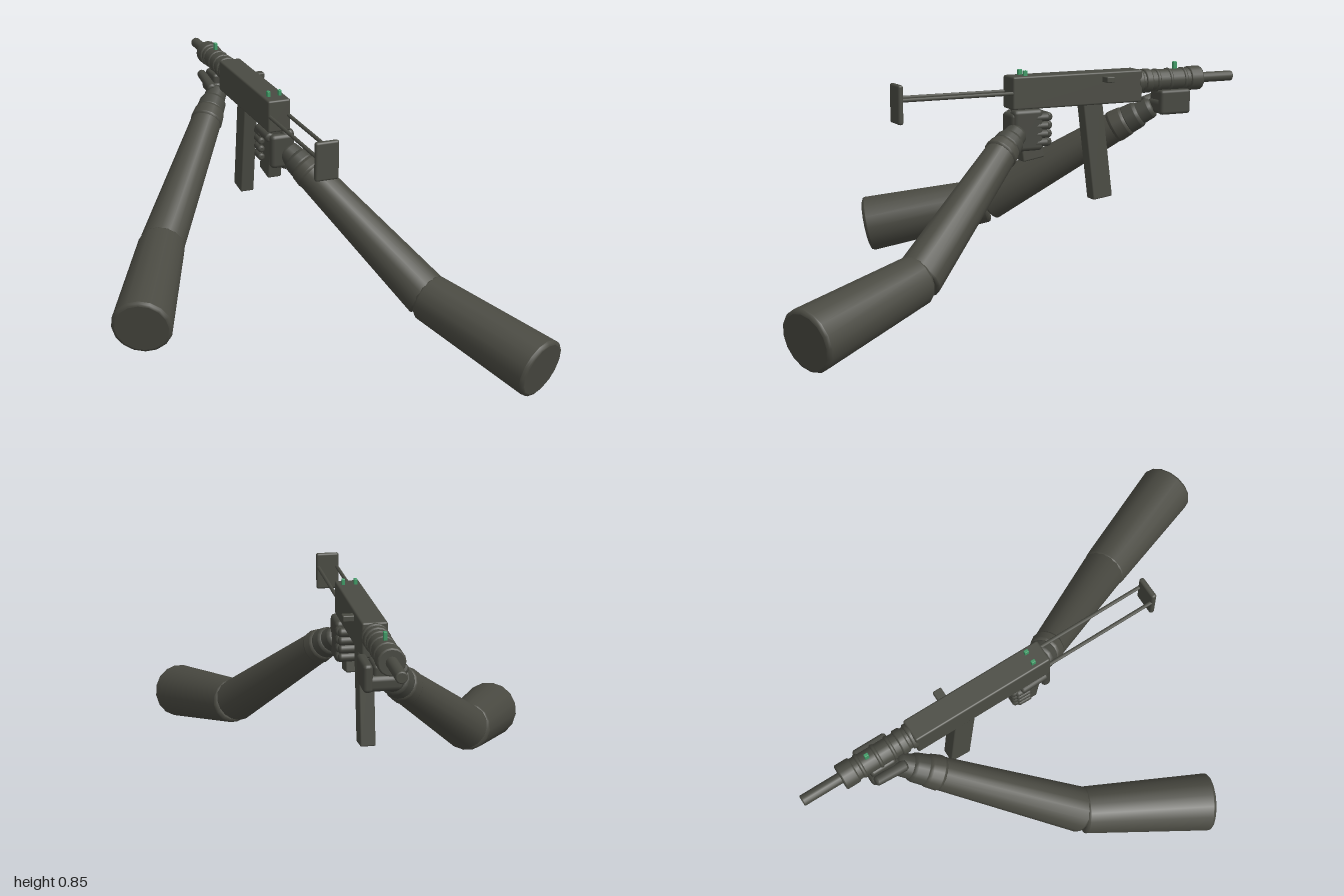
import * as THREE from 'three';
import { RoundedBoxGeometry } from 'three/addons/geometries/RoundedBoxGeometry.js';

const V = (p) => new THREE.Vector3(...p);

export function createModel() {
  const model = new THREE.Group();
  const metal = new THREE.MeshStandardMaterial({ color: 0x4a4b43 });
  metal.name = 'gunmetal';
  const sleeve = new THREE.MeshStandardMaterial({ color: 0x4a4a42 });
  sleeve.name = 'sleeve olive grey';
  const glove = new THREE.MeshStandardMaterial({ color: 0x464740 });
  glove.name = 'glove grey';
  const green = new THREE.MeshStandardMaterial({ color: 0x3f9a66 });
  green.name = 'sight green';

  const add = (name, geometry, material, parent = model) => {
    const mesh = new THREE.Mesh(geometry, material);
    mesh.name = name;
    parent.add(mesh);
    return mesh;
  };

  // Softened box given by size and centre
  const box = (name, size, centre, material, bevel = 0.006, parent = model) => {
    const mesh = add(name, new RoundedBoxGeometry(...size, 2, bevel), material, parent);
    mesh.position.set(...centre);
    return mesh;
  };

  // Tapered round bar from a to b with softened rims
  const rod = (name, a, b, r0, r1, bevel, material, parent = model, sides = 16) => {
    const from = V(a), dir = V(b).sub(from), len = dir.length(), k = bevel;
    const profile = [
      [0, 0], [r0 - k * 1.1, 0], [r0 - k, 0], [r0 - k * 0.3, k * 0.3], [r0, k], [r0, k * 1.1],
      [r1, len - k * 1.1], [r1, len - k], [r1 - k * 0.3, len - k * 0.3], [r1 - k, len], [r1 - k * 1.1, len], [0, len],
    ].map(([x, y]) => new THREE.Vector2(Math.max(x, 0), y));
    const mesh = add(name, new THREE.LatheGeometry(profile, sides), material, parent);
    mesh.position.copy(from);
    mesh.quaternion.setFromUnitVectors(new THREE.Vector3(0, 1, 0), dir.normalize());
    return mesh;
  };

  const cx = 0.03; // centre line of the weapon

  // Receiver, barrel shroud with raised bands, and muzzle
  const gun = new THREE.Group();
  gun.name = 'weapon';
  model.add(gun);
  box('receiver', [0.088, 0.122, 0.545], [cx, 0.777, -0.3], metal, 0.007, gun);
  rod('barrelShroud', [cx, 0.79, -0.55], [cx, 0.79, -0.84], 0.041, 0.041, 0.004, metal, gun);
  for (const [z0, z1, r] of [[-0.56, -0.585, 0.047], [-0.595, -0.625, 0.047], [-0.645, -0.66, 0.045],
    [-0.7, -0.715, 0.045], [-0.765, -0.78, 0.045], [-0.795, -0.85, 0.047]]) {
    rod('shroudBand', [cx, 0.79, z0], [cx, 0.79, z1], r, r, 0.005, metal, gun);
  }
  rod('muzzle', [cx, 0.79, -0.84], [cx, 0.79, -1], 0.02, 0.02, 0.004, metal, gun);

  // Slanted magazine and pistol grip
  const magazine = box('magazine', [0.054, 0.4, 0.082], [cx, 0.551, -0.391], metal, 0.005, gun);
  magazine.rotation.x = 0.13;
  const grip = box('pistolGrip', [0.054, 0.22, 0.09], [cx, 0.633, -0.105], metal, 0.006, gun);
  grip.rotation.x = 0.16;

  // Folding stock
  for (const s of [-1, 1]) {
    rod('stockRod', [cx + s * 0.036, 0.777, -0.06], [cx + s * 0.036, 0.777, 0.41], 0.007, 0.007, 0.001, metal, gun, 8);
  }
  box('buttPlate', [0.088, 0.142, 0.02], [cx, 0.761, 0.411], metal, 0.008, gun);

  // Bolt handle and sights
  box('boltHandle', [0.05, 0.022, 0.034], [0.088, 0.812, -0.414], metal, 0.004, gun);
  for (const [x, z] of [[0.008, -0.085], [0.052, -0.085], [cx, -0.74]]) {
    box('sightDot', [0.012, 0.03, 0.016], [x, 0.843, z], green, 0.002, gun);
  }

  // Trigger hand: palm, thumb and four fingers round the grip
  const triggerHand = new THREE.Group();
  triggerHand.name = 'triggerHand';
  model.add(triggerHand);
  box('palm', [0.05, 0.155, 0.12], [0.066, 0.64, -0.085], glove, 0.016, triggerHand);
  box('palmHeel', [0.09, 0.13, 0.035], [0.04, 0.64, -0.035], glove, 0.015, triggerHand);
  for (let i = 0; i < 4; i++) {
    const y = 0.685 - i * 0.031, z = -0.17 + i * 0.001;
    rod('finger', [-0.012, y, z], [0.085, y, z], 0.017, 0.017, 0.009, glove, triggerHand, 10);
    rod('fingerBase', [0.078, y, z], [0.075, y, -0.1], 0.016, 0.016, 0.007, glove, triggerHand, 10);
    rod('fingertip', [-0.005, y, z], [-0.008, y, -0.11], 0.015, 0.014, 0.007, glove, triggerHand, 10);
  }
  rod('thumb', [0, 0.69, -0.04], [-0.008, 0.7, -0.15], 0.019, 0.016, 0.008, glove, triggerHand, 10);

  // Support hand: palm under the shroud, fingers and thumb on either side
  const supportHand = new THREE.Group();
  supportHand.name = 'supportHand';
  model.add(supportHand);
  box('palm', [0.12, 0.055, 0.12], [0.035, 0.69, -0.705], glove, 0.018, supportHand);
  box('palmTop', [0.08, 0.05, 0.1], [cx, 0.728, -0.705], glove, 0.012, supportHand);
  box('fingers', [0.032, 0.095, 0.132], [0.089, 0.711, -0.705], glove, 0.012, supportHand);
  rod('thumb', [-0.022, 0.7, -0.63], [-0.03, 0.735, -0.755], 0.021, 0.018, 0.009, glove, supportHand, 10);

  // Arm: glove wrist, two cuff bands, forearm and upper arm
  const arm = (name, hand, wrist, elbow, end) => {
    const g = new THREE.Group();
    g.name = name;
    model.add(g);
    const at = (t) => V(hand).lerp(V(wrist), t).toArray();
    rod('gloveWrist', hand, at(0.6), 0.042, 0.046, 0.015, glove, g);
    rod('gloveCuff', at(0.35), at(0.8), 0.053, 0.056, 0.014, glove, g);
    rod('sleeveCuff', at(0.7), at(1.15), 0.06, 0.064, 0.014, sleeve, g);
    rod('forearm', wrist, elbow, 0.06, 0.085, 0.008, sleeve, g);
    rod('upperArm', elbow, end, 0.089, 0.11, 0.012, sleeve, g);
  };
  arm('rightArm', [0.065, 0.635, -0.05], [0.122, 0.57, 0.045], [0.4, 0.215, 0.49], [0.604, 0.115, 0.95]);
  arm('leftArm', [0.008, 0.685, -0.66], [-0.075, 0.607, -0.55], [-0.4, 0.283, -0.14], [-0.612, 0.183, 0.296]);

  return model;
}
